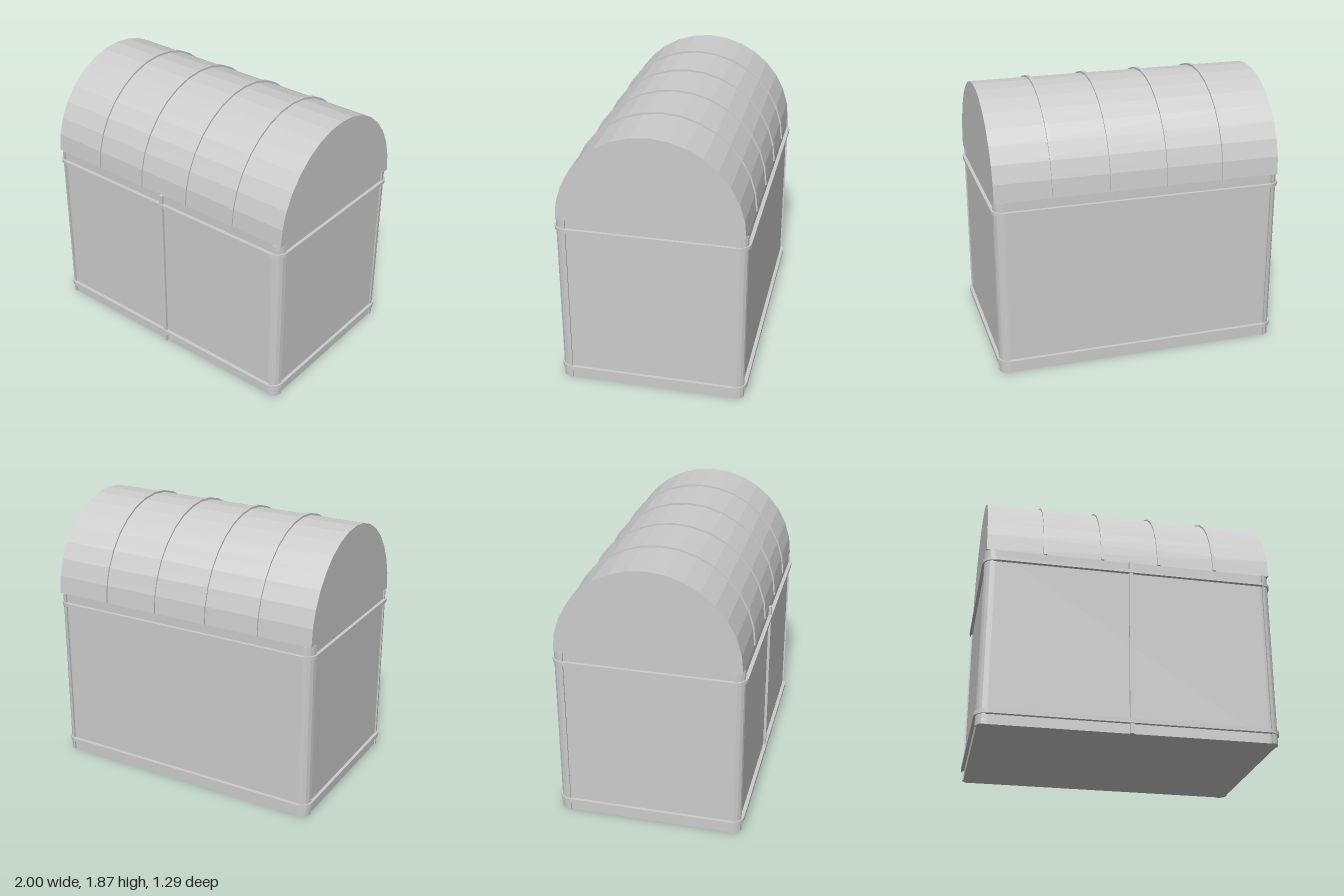
import * as THREE from 'three';

const material = new THREE.MeshStandardMaterial({ color: 0xcccccc });
const BODY_TOP = 1.233;

// Rectangle with rounded corners, traced counter-clockwise
function roundedRect(hx, hz, r, Type = THREE.Shape) {
  const s = new Type();
  s.absarc(hx - r, hz - r, r, 0, Math.PI / 2);
  s.absarc(-hx + r, hz - r, r, Math.PI / 2, Math.PI);
  s.absarc(-hx + r, -hz + r, r, Math.PI, Math.PI * 1.5);
  s.absarc(hx - r, -hz + r, r, Math.PI * 1.5, Math.PI * 2);
  s.closePath();
  return s;
}

// Points of a half-ellipse arch in 16 flat steps
function archPoints(rz, ry) {
  return Array.from({ length: 17 }, (_, i) => {
    const a = (i / 16) * Math.PI;
    return new THREE.Vector2(Math.cos(a) * rz, Math.sin(a) * ry);
  });
}

// Plan shape raised upward from y0 to y1
function upright(shape, y0, y1, curveSegments = 4) {
  return new THREE.ExtrudeGeometry(shape, { depth: y1 - y0, bevelEnabled: false, curveSegments })
    .rotateX(-Math.PI / 2).translate(0, y0, 0);
}

// Side profile stretched along x, resting on the top of the body
function lengthwise(shape, width, x) {
  return new THREE.ExtrudeGeometry(shape, { depth: width, bevelEnabled: false })
    .translate(0, 0, -width / 2).rotateY(Math.PI / 2).translate(x, BODY_TOP, 0);
}

export function createModel() {
  const model = new THREE.Group();
  const add = (name, geometry) => {
    const mesh = new THREE.Mesh(geometry, material);
    mesh.name = name;
    model.add(mesh);
  };

  // Box body
  add('body', upright(roundedRect(0.976, 0.62, 0.06), 0, BODY_TOP));

  // Rounded corner posts
  for (const sx of [-1, 1]) {
    for (const sz of [-1, 1]) {
      const post = new THREE.Shape();
      const cx = 0.93, cz = 0.557;
      post.moveTo(sx * cx, sz * cz);
      for (let i = 0; i <= 4; i++) {
        const a = (i / 4) * Math.PI / 2;
        post.lineTo(sx * (cx + 0.056 * Math.cos(a)), sz * (cz + 0.073 * Math.sin(a)));
      }
      post.closePath();
      add('cornerPost', upright(post, 0, BODY_TOP));
    }
  }

  // Bands around the body, near bottom and top
  for (const [name, y0, y1] of [['lowerBand', 0.067, 0.096], ['upperBand', 1.147, 1.171]]) {
    const ring = roundedRect(0.998, 0.645, 0.09);
    ring.holes.push(roundedRect(0.965, 0.61, 0.07, THREE.Path));
    add(name, upright(ring, y0, y1, 6));
  }

  // Vertical strip down the middle of the front
  add('frontStrip', new THREE.BoxGeometry(0.026, BODY_TOP, 0.03).translate(0, BODY_TOP / 2, 0.623));

  // Barrel lid
  add('lid', lengthwise(new THREE.Shape(archPoints(0.62, 0.626)), 1.962, 0.003));

  // Thin ribs over the lid
  for (let i = 0; i < 4; i++) {
    const outline = [...archPoints(0.63, 0.639), ...archPoints(0.612, 0.618).reverse()];
    add('lidRib', lengthwise(new THREE.Shape(outline), 0.024, 0.003 + (i - 1.5) * 0.392));
  }

  return model;
}
